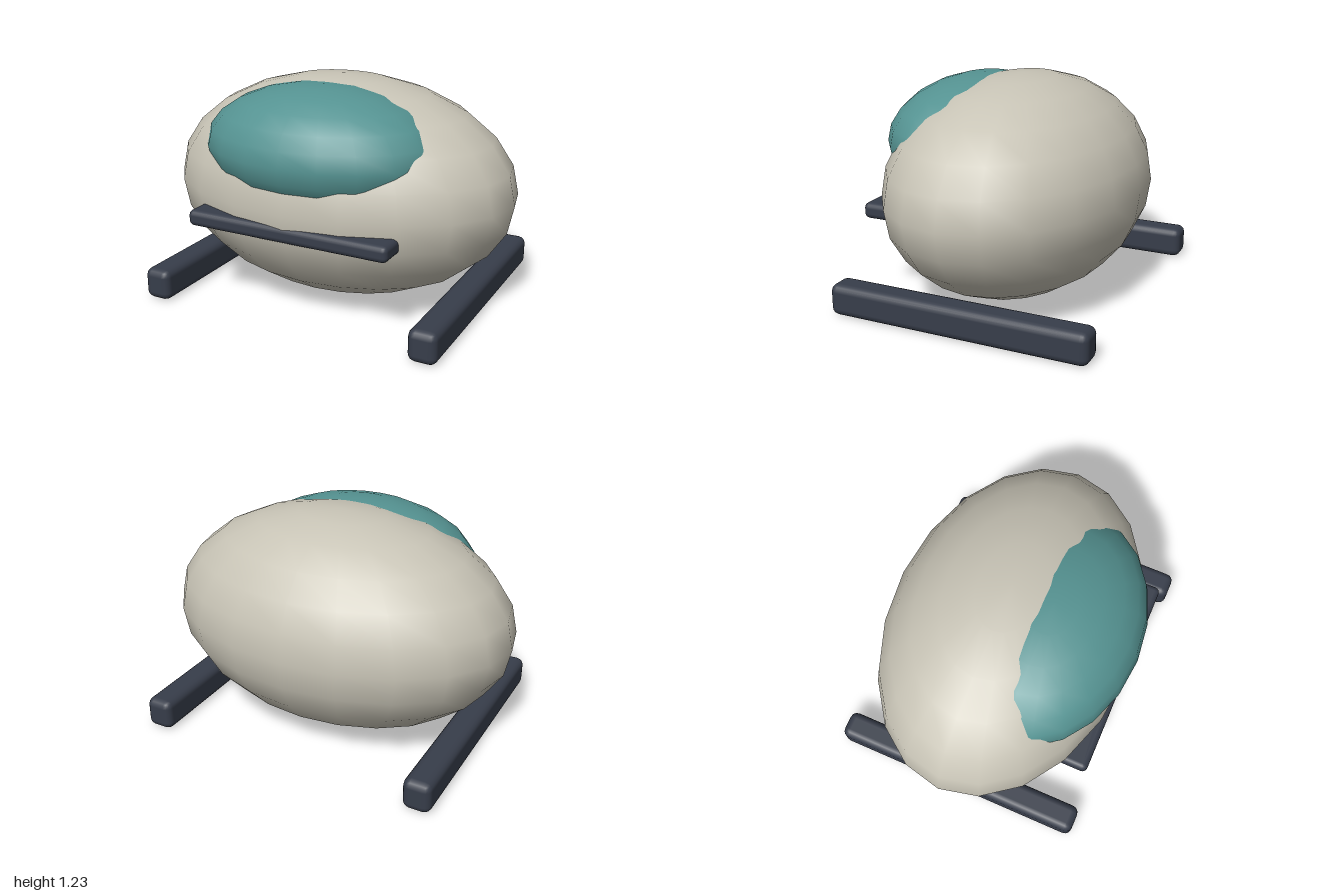
import * as THREE from 'three';
import { RoundedBoxGeometry } from 'three/addons/geometries/RoundedBoxGeometry.js';

function material(name, color) {
  const m = new THREE.MeshStandardMaterial({ color });
  m.name = name;
  return m;
}

export function createModel() {
  const model = new THREE.Group();
  model.name = 'pod';
  const shell = material('warm grey shell', 0xc8c4b6);
  const glass = material('teal glass', 0x559392);
  const trim = material('dark slate trim', 0x373d4a);

  function add(name, geometry, mat, x, y, z) {
    const mesh = new THREE.Mesh(geometry, mat);
    mesh.name = name;
    mesh.position.set(x, y, z);
    model.add(mesh);
    return mesh;
  }
  // Smooth ellipsoid with its poles on the y axis
  const ellipsoid = (rx, ry, rz) => new THREE.SphereGeometry(1, 20, 12).scale(rx, ry, rz);

  // Hull and the bulging front window
  add('body', ellipsoid(1, 0.612, 0.692), shell, 0, 0.615, 0);
  add('canopy', ellipsoid(0.68, 0.342, 0.49), glass, 0, 0.87, 0.23);

  // Front bumper, half sunk into the hull
  add('bumper', new RoundedBoxGeometry(1.17, 0.088, 0.18, 2, 0.03), trim, 0, 0.508, 0.597);

  // Landing skids
  for (const [side, name] of [[1, 'leftSkid'], [-1, 'rightSkid']]) {
    add(name, new RoundedBoxGeometry(0.156, 0.175, 1.465, 2, 0.042), trim, side * 0.793, 0.0875, 0);
  }
  return model;
}
